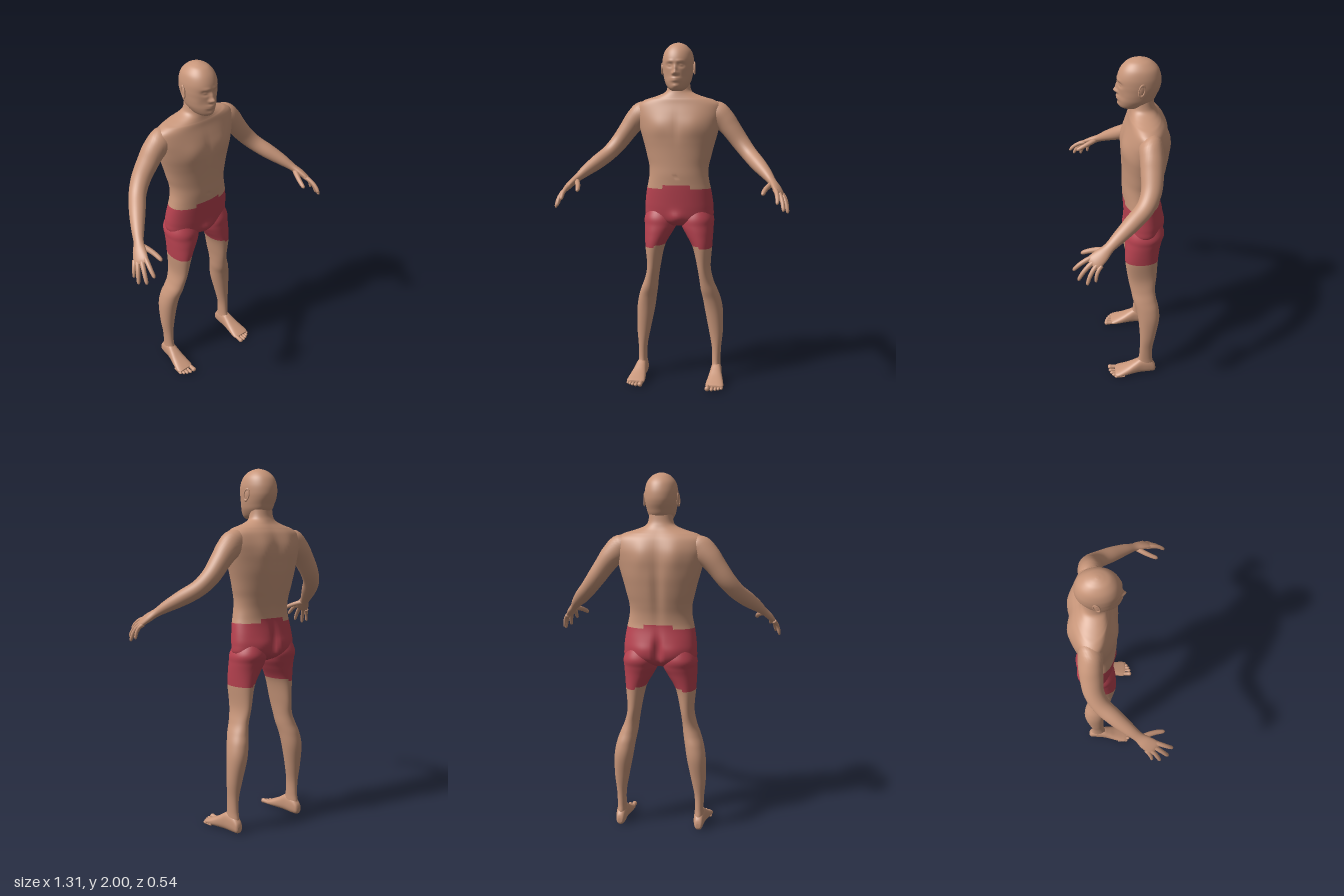
import * as THREE from 'three';

const skin = new THREE.MeshStandardMaterial({ color: 0xc8967a });
skin.name = 'skin';
const red = new THREE.MeshStandardMaterial({ color: 0xb84250 });
red.name = 'shortsRed';

// Smooth rows of numbers with a Catmull-Rom spline through every column
function smooth(rows, sub) {
  const out = [];
  for (let i = 0; i < rows.length - 1; i++) {
    const [a, b, c, d] = [rows[Math.max(i - 1, 0)], rows[i], rows[i + 1], rows[Math.min(i + 2, rows.length - 1)]];
    for (let k = 0; k < sub; k++) {
      const t = k / sub;
      out.push(b.map((p, j) => p + 0.5 * t * (c[j] - a[j] + t * (2 * a[j] - 5 * p + 4 * c[j] - d[j] + t * (3 * (p - c[j]) + d[j] - a[j])))));
    }
  }
  out.push(rows[rows.length - 1]);
  return out;
}

// Closed skin over rings of points; faces inside the shorts go to group 1
function skinRings(rings, inShorts = () => false) {
  const n = rings[0].length, pts = rings.flat(), quads = [[], []];
  const middle = (list) => list.reduce((s, p) => s.add(p), new THREE.Vector3()).divideScalar(list.length);
  const start = pts.push(middle(rings[0])) - 1;
  const end = pts.push(middle(rings[rings.length - 1])) - 1;
  const last = (rings.length - 1) * n;
  const add = (...tris) => quads[inShorts(middle(tris.map((i) => pts[i]))) ? 1 : 0].push(...tris);
  for (let j = 0; j < n; j++) {
    const k = (j + 1) % n;
    add(start, k, j);
    add(end, last + j, last + k);
    for (let r = 0; r < last; r += n) add(r + j, r + k, r + n + k, r + j, r + n + k, r + n + j);
  }
  // Turn all faces outward
  const index = quads.flat();
  let volume = 0;
  const cross = new THREE.Vector3();
  for (let i = 0; i < index.length; i += 3) volume += pts[index[i]].dot(cross.crossVectors(pts[index[i + 1]], pts[index[i + 2]]));
  if (volume < 0) flip(index);
  const geo = new THREE.BufferGeometry().setFromPoints(pts);
  geo.setIndex(index);
  geo.addGroup(0, quads[0].length, 0);
  if (quads[1].length) geo.addGroup(quads[0].length, quads[1].length, 1);
  geo.computeVertexNormals();
  return geo;
}

function flip(index) {
  for (let i = 0; i < index.length; i += 3) [index[i + 1], index[i + 2]] = [index[i + 2], index[i + 1]];
}

// Loft of rows [t, x0, x1, w0, w1]; t runs along y (w is z) or along z (w is y).
// bumps: [side, |x|, y, spreadX, spreadY, height] raise or sink the front (1) or back (-1)
function loft(rows, { along = 'y', n = 48, sub = 5, power = 2, bumps = [], inShorts } = {}) {
  const round = (v) => Math.sign(v) * Math.abs(v) ** (2 / power);
  const rings = smooth(rows, sub).map(([t, x0, x1, w0, w1]) => Array.from({ length: n }, (_, j) => {
    const a = (j / n) * Math.PI * 2, s = Math.sin(a);
    const x = (x0 + x1) / 2 + ((x1 - x0) / 2) * round(Math.cos(a));
    let w = (w0 + w1) / 2 + ((w1 - w0) / 2) * round(s);
    for (const [side, bx, by, sx, sy, h] of bumps) {
      if (side * s > 0) w += side * Math.abs(s) * h * Math.exp(-(((Math.abs(x) - bx) / sx) ** 2) - ((t - by) / sy) ** 2);
    }
    return along === 'y' ? new THREE.Vector3(x, t, w) : new THREE.Vector3(x, w, t);
  }));
  return skinRings(rings, inShorts);
}

// Tube of rows [x, y, z, width, thickness]; width follows the direction across
function limb(rows, across, n = 20, sub = 5) {
  const path = smooth(rows, sub), at = (i) => new THREE.Vector3(...path[Math.min(Math.max(i, 0), path.length - 1)].slice(0, 3));
  return skinRings(path.map((row, i) => {
    const t = at(i + 1).sub(at(i - 1)).normalize();
    const u = across.clone().addScaledVector(t, -across.dot(t)).normalize();
    const v = t.clone().cross(u);
    return Array.from({ length: n }, (_, j) => {
      const a = (j / n) * Math.PI * 2;
      return at(i).addScaledVector(u, row[3] * Math.cos(a)).addScaledVector(v, row[4] * Math.sin(a));
    });
  }));
}

const symmetric = (rows) => rows.map(([y, w, back, front]) => [y, -w, w, back, front]);

export function createModel() {
  const model = new THREE.Group();
  model.name = 'standingMan';
  const add = (name, geo, parent = model) => {
    const mesh = new THREE.Mesh(geo, geo.groups.length > 1 ? [skin, red] : skin);
    mesh.name = name;
    parent.add(mesh);
  };
  const addPair = (name, geo) => {
    add('left' + name, geo);
    const other = geo.clone().scale(-1, 1, 1);
    flip(other.index.array);
    other.computeVertexNormals();
    add('right' + name, other);
  };

  // Torso, neck and the upper part of the shorts
  add('torso', loft(symmetric([
    [0.95, 0.05, -0.17, -0.07], [0.97, 0.13, -0.215, -0.045], [1.0, 0.198, -0.243, -0.035], [1.05, 0.204, -0.25, -0.028],
    [1.1, 0.2, -0.243, -0.024], [1.16, 0.191, -0.23, -0.02], [1.2, 0.182, -0.226, -0.018], [1.25, 0.174, -0.23, -0.015],
    [1.3, 0.176, -0.24, -0.015], [1.35, 0.188, -0.25, -0.014], [1.4, 0.2, -0.258, -0.012], [1.45, 0.214, -0.264, -0.009],
    [1.5, 0.228, -0.265, -0.008], [1.55, 0.24, -0.264, -0.014], [1.6, 0.25, -0.256, -0.027], [1.65, 0.244, -0.238, -0.043],
    [1.678, 0.205, -0.22, -0.05], [1.69, 0.168, -0.211, -0.054], [1.705, 0.12, -0.2, -0.058], [1.724, 0.08, -0.191, -0.062],
    [1.75, 0.067, -0.183, -0.066], [1.8, 0.062, -0.178, -0.07],
  ]), {
    n: 88, power: 2.1,
    inShorts: (p) => p.y < (Math.abs(p.x) < 0.08 ? 1.19 : 1.165),
    bumps: [
      [1, 0.1, 1.53, 0.06, 0.06, 0.008], [1, 0, 1.52, 0.02, 0.08, -0.004], // chest
      [1, 0, 1.24, 0.008, 0.008, -0.006], [1, 0, 1.0, 0.04, 0.035, 0.016], // navel, front of shorts
      [-1, 0.09, 1.57, 0.05, 0.09, 0.012], [-1, 0, 1.4, 0.028, 0.2, -0.012], // shoulder blades, spine
      [-1, 0, 1.04, 0.018, 0.07, -0.035], [-1, 0.09, 1.04, 0.055, 0.05, 0.009], // seat
    ],
  }));

  // Head with sculpted face
  add('head', loft(symmetric([
    [1.728, 0.025, -0.1, -0.03], [1.735, 0.04, -0.13, -0.006], [1.75, 0.056, -0.155, 0.003], [1.78, 0.073, -0.183, 0.007],
    [1.81, 0.081, -0.197, 0.008], [1.84, 0.086, -0.21, 0.008], [1.87, 0.089, -0.216, 0.01], [1.91, 0.088, -0.213, 0.008],
    [1.95, 0.077, -0.197, -0.009], [1.98, 0.053, -0.166, -0.037], [1.994, 0.028, -0.135, -0.068], [2.0, 0.006, -0.108, -0.095],
  ]), {
    n: 112, sub: 7, power: 2.1,
    bumps: [
      [1, 0, 1.828, 0.012, 0.013, 0.02], [1, 0, 1.85, 0.01, 0.022, 0.011], [1, 0.014, 1.824, 0.007, 0.008, 0.008], // nose
      [1, 0.034, 1.87, 0.02, 0.013, -0.012], [1, 0.034, 1.87, 0.012, 0.007, 0.008], [1, 0.028, 1.892, 0.022, 0.008, 0.005], // eyes, brow
      [1, 0, 1.791, 0.025, 0.013, 0.012], [1, 0, 1.791, 0.024, 0.003, -0.005], // lips
      [1, 0, 1.755, 0.02, 0.012, 0.006], [1, 0.05, 1.81, 0.02, 0.025, -0.004], // chin, cheeks
    ],
  }));

  // Ears: a flat lobe with a raised rim
  const ear = (geo) => geo.rotateX(-0.2).rotateY(0.25).translate(0.089, 1.858, -0.108);
  addPair('Ear', ear(new THREE.SphereGeometry(1, 20, 14).scale(0.006, 0.033, 0.018)));
  addPair('EarRim', ear(new THREE.TorusGeometry(0.016, 0.004, 8, 24).rotateY(Math.PI / 2).scale(1, 1.9, 1).translate(0.004, 0, 0)));

  // Arms down to the palm
  const across = new THREE.Vector3(-0.55, 0.4, 0.7);
  addPair('Arm', limb([
    [0.15, 1.605, -0.145, 0.045, 0.05], [0.21, 1.602, -0.147, 0.062, 0.073], [0.262, 1.563, -0.15, 0.063, 0.065],
    [0.305, 1.51, -0.148, 0.06, 0.056], [0.362, 1.433, -0.14, 0.054, 0.05], [0.415, 1.37, -0.105, 0.048, 0.045],
    [0.47, 1.318, -0.035, 0.044, 0.042], [0.52, 1.272, 0.035, 0.035, 0.032], [0.553, 1.237, 0.085, 0.028, 0.022],
    [0.578, 1.21, 0.124, 0.038, 0.02], [0.596, 1.185, 0.16, 0.042, 0.016], [0.605, 1.173, 0.177, 0.034, 0.008],
  ], across, 32));

  // Fingers: base, tip and radius
  const digits = {
    Thumb: [[0.558, 1.225, 0.1], [0.513, 1.177, 0.228], 0.014],
    IndexFinger: [[0.575, 1.2, 0.168], [0.592, 1.132, 0.27], 0.012],
    MiddleFinger: [[0.592, 1.188, 0.16], [0.625, 1.092, 0.246], 0.012],
    RingFinger: [[0.606, 1.178, 0.146], [0.647, 1.077, 0.202], 0.0115],
    LittleFinger: [[0.614, 1.172, 0.128], [0.644, 1.092, 0.158], 0.01],
  };
  for (const [name, [base, tip, r]] of Object.entries(digits)) {
    const bend = name === 'Thumb' ? [-0.008, 0.004, 0] : [0.006, 0.008, 0.008];
    const row = (t, k) => [...base.map((b, i) => b + (tip[i] - b) * t + bend[i] * 4 * t * (1 - t)), r * k, r * k];
    addPair(name, limb([row(0, 1.15), row(0.3, 1.05), row(0.6, 0.95), row(0.85, 0.85), row(0.96, 0.6), row(1, 0.15)], across, 14, 4));
  }

  // Legs with the lower part of the shorts
  addPair('Leg', loft([
    [1.08, 0.03, 0.17, -0.22, -0.07], [1.0, 0.012, 0.205, -0.248, -0.036], [0.95, 0.016, 0.206, -0.238, -0.03],
    [0.9, 0.042, 0.204, -0.226, -0.026], [0.82, 0.086, 0.199, -0.215, -0.026], [0.7, 0.113, 0.19, -0.209, -0.042],
    [0.62, 0.125, 0.206, -0.201, -0.058], [0.56, 0.132, 0.23, -0.208, -0.07], [0.5, 0.143, 0.25, -0.222, -0.088],
    [0.42, 0.156, 0.263, -0.227, -0.102], [0.3, 0.18, 0.264, -0.207, -0.112], [0.2, 0.199, 0.255, -0.191, -0.113],
    [0.12, 0.202, 0.252, -0.19, -0.108], [0.07, 0.2, 0.254, -0.197, -0.095], [0.03, 0.205, 0.25, -0.19, -0.1],
  ], { sub: 7, power: 2.1, inShorts: (p) => p.y > (p.x < 0.13 ? 0.84 : 0.818) }));

  // Feet, heel to ball
  addPair('Foot', loft([
    [-0.212, 0.217, 0.241, 0.018, 0.042], [-0.203, 0.206, 0.251, 0.004, 0.068], [-0.17, 0.198, 0.257, 0, 0.1],
    [-0.12, 0.197, 0.262, 0, 0.108], [-0.08, 0.193, 0.27, 0, 0.087], [-0.04, 0.188, 0.28, 0, 0.063],
    [0, 0.184, 0.288, 0, 0.044], [0.025, 0.184, 0.289, 0.002, 0.033], [0.04, 0.192, 0.28, 0.008, 0.026],
  ], { along: 'z', power: 2.4, n: 36 }));

  // Toes: x, tip z, radius
  [[0.2, 0.084, 0.0145], [0.226, 0.08, 0.0105], [0.246, 0.072, 0.01], [0.264, 0.061, 0.0095], [0.28, 0.047, 0.009]].forEach(([x, tip, r], i) => {
    const row = (dz, k) => [x, r + 0.001, tip - dz, r * k, r * k];
    addPair('Toe' + (i + 1), limb([row(0.065, 0.8), row(0.03, 0.85), row(0.012, 1), row(0.003, 0.65), row(0, 0.15)], new THREE.Vector3(1, 0, 0), 14, 4));
  });

  return model;
}
